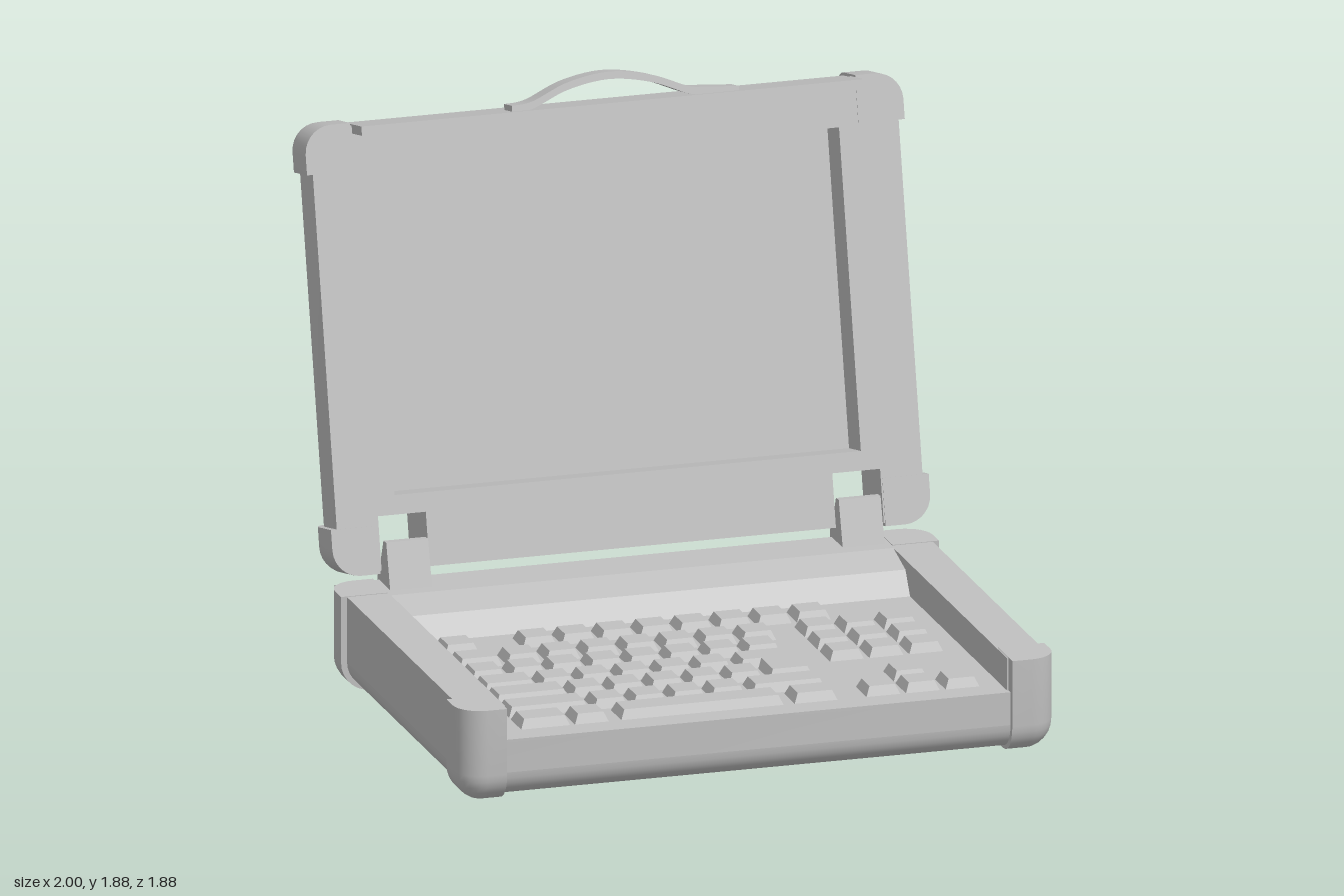
import * as THREE from 'three';
import { toCreasedNormals } from 'three/addons/utils/BufferGeometryUtils.js';

const grey = new THREE.MeshStandardMaterial({ color: 0xc0c0c0 });
grey.name = 'case grey';

function add(parent, name, geometry) {
  const mesh = new THREE.Mesh(geometry, grey);
  mesh.name = name;
  parent.add(mesh);
  return mesh;
}

function box(x0, x1, y0, y1, z0, z1) {
  return new THREE.BoxGeometry(x1 - x0, y1 - y0, z1 - z0)
    .translate((x0 + x1) / 2, (y0 + y1) / 2, (z0 + z1) / 2);
}

// Points along a quarter-circle corner
function arc(cx, cy, r, from, steps = 7) {
  return Array.from({ length: steps + 1 }, (_, k) => {
    const a = from + (k / steps) * Math.PI / 2;
    return new THREE.Vector2(cx + r * Math.cos(a), cy + r * Math.sin(a));
  });
}

const points = list => list.map(([x, y]) => new THREE.Vector2(x, y));

// Rounded rectangle, counter-clockwise, shrunk by inset
function roundRect(x0, x1, y0, y1, radius, inset = 0) {
  const r = Math.max(radius - inset, 0.004);
  x0 += inset; x1 -= inset; y0 += inset; y1 -= inset;
  return [
    ...arc(x1 - r, y0 + r, r, -Math.PI / 2),
    ...arc(x1 - r, y1 - r, r, 0),
    ...arc(x0 + r, y1 - r, r, Math.PI / 2),
    ...arc(x0 + r, y0 + r, r, Math.PI),
  ];
}

// Skin a stack of outlines along z; levels are [height, inset]
function loft(outline, levels) {
  const rings = levels.map(([, inset]) => outline(inset));
  const n = rings[0].length;
  const pos = [], index = [];
  rings.forEach((ring, l) => ring.forEach(p => pos.push(p.x, p.y, levels[l][0])));
  for (let l = 0; l < rings.length - 1; l++) {
    for (let j = 0; j < n; j++) {
      const k = (j + 1) % n, a = l * n + j, b = l * n + k;
      index.push(a, b, b + n, a, b + n, a + n);
    }
  }
  const last = (rings.length - 1) * n;
  for (const [a, b, c] of THREE.ShapeUtils.triangulateShape(rings[0], [])) index.push(c, b, a);
  for (const [a, b, c] of THREE.ShapeUtils.triangulateShape(rings[rings.length - 1], []))
    index.push(last + a, last + b, last + c);
  const g = new THREE.BufferGeometry();
  g.setAttribute('position', new THREE.Float32BufferAttribute(pos, 3));
  g.setIndex(index);
  return toCreasedNormals(g, 0.6);
}

// Quarter-round start edge, then straight up to the full depth
function roundedLevels(depth, r, steps = 7) {
  const levels = [];
  for (let k = 0; k <= steps; k++) {
    const a = (k / steps) * Math.PI / 2;
    levels.push([r * (1 - Math.cos(a)), r * (1 - Math.sin(a))]);
  }
  if (depth > r + 0.001) levels.push([depth, 0]);
  return levels;
}

// Corner guard: sx, sy choose the corner; cy is the middle of the body
function cornerGuard(sx, sy, halfY, cy, depth, r) {
  const size = 0.155, radius = 0.09;
  return loft(inset => {
    const q = Math.max(radius - inset, 0.004), X = 1 - inset, Y = halfY - inset;
    const pts = [
      new THREE.Vector2(1 - size, halfY - size),
      new THREE.Vector2(X, halfY - size),
      ...arc(X - q, Y - q, q, 0),
      new THREE.Vector2(1 - size, Y),
    ].map(p => new THREE.Vector2(p.x * sx, p.y * sy + cy));
    return sx * sy < 0 ? pts.reverse() : pts;
  }, roundedLevels(depth, r));
}

// Side profile (z, y) swept across x0..x1
function acrossX(profile, x0, x1) {
  return new THREE.ExtrudeGeometry(new THREE.Shape(points(profile)), { depth: x1 - x0, bevelEnabled: false })
    .rotateY(-Math.PI / 2).translate(x1, 0, 0);
}

function addKey(parent, x0, x1, z0, z1) {
  const g = loft(i => points([[x0 + i, -z1 + i], [x1 - i, -z1 + i], [x1 - i, -z0 - i], [x0 + i, -z0 - i]]),
    [[0, 0], [0.033, 0.015]]);
  add(parent, 'key', g.rotateX(-Math.PI / 2).translate(0, 0.208, 0));
}

function buildBase() {
  const base = new THREE.Group();
  base.name = 'base';
  const upright = (g, y) => g.rotateX(-Math.PI / 2).translate(0, y, 0);
  const plan = inset => roundRect(-0.98, 0.98, -0.92, 0.49, 0.08, inset);
  add(base, 'basePan', upright(loft(plan, roundedLevels(0.09, 0.09)), 0.01));

  // Middle layer with two open bays in the left side
  const bays = () => {
    const p = plan(0);
    p.splice(8, 0, ...points([[0.98, -0.75], [0.84, -0.75], [0.84, -0.26], [0.98, -0.26],
      [0.98, -0.19], [0.84, -0.19], [0.84, 0.31], [0.98, 0.31]]));
    return p;
  };
  add(base, 'driveBayLayer', upright(loft(bays, [[0, 0], [0.1, 0]]), 0.1));
  add(base, 'keyboardDeck', upright(loft(plan, [[0, 0], [0.01, 0]]), 0.2));

  // Raised rim: two side rails and the sloped rear ledge
  for (const s of [-1, 1]) {
    add(base, 'sideRail', box(Math.min(s * 0.84, s * 0.98), Math.max(s * 0.84, s * 0.98), 0.2, 0.318, -0.478, 0.9));
  }
  add(base, 'rearLedge', acrossX([[-0.49, 0.2], [-0.14, 0.2], [-0.14, 0.21], [-0.19, 0.285],
    [-0.32, 0.318], [-0.49, 0.318]], -0.845, 0.845));

  for (const sx of [-1, 1]) for (const sy of [-1, 1]) {
    add(base, 'baseCornerGuard', upright(cornerGuard(sx, sy, 0.72, -0.22, 0.32, 0.1), 0));
  }
  return base;
}

function buildKeyboard() {
  const keyboard = new THREE.Group();
  keyboard.name = 'keyboard';
  const w = 0.115, pitch = 0.131, pad = [0.39, 0.522, 0.655];
  // Each row: centre z, wide keys [x0, x1], run of plain keys [start, count], keypad starts
  const rows = [
    [-0.04, [[-0.765, -0.65]], [-0.505, 8], []],
    [0.115, [[-0.765, -0.62]], [-0.605, 7], pad],
    [0.25, [], [-0.765, 1], pad],
    [0.25, [], [-0.632, 7], []],
    [0.385, [[-0.765, -0.59], [0.09, 0.295]], [-0.575, 5], pad],
    [0.51, [[-0.765, -0.52]], [-0.51, 5], []],
    [0.645, [[-0.765, -0.495], [0.05, 0.295]], [-0.48, 4], [pad[1]]],
    [0.775, [[-0.765, -0.6], [-0.43, 0.115], [0.15, 0.295]], [-0.585, 1], pad],
  ];
  for (const [z, wide, [start, count], extra] of rows) {
    const starts = [...Array.from({ length: count }, (_, k) => start + k * pitch), ...extra];
    for (const [x0, x1] of [...wide, ...starts.map(x => [x, x + w])]) addKey(keyboard, x0, x1, z - w / 2, z + w / 2);
  }
  addKey(keyboard, 0.15, 0.295, 0.3275, 0.5675); // lower leg of the enter key
  return keyboard;
}

function buildLid() {
  const lid = new THREE.Group();
  lid.name = 'lid';
  // Outline with two hinge cut-outs in the bottom edge
  const outline = inset => {
    const y = 0.01 + inset, t = 0.185;
    return [...roundRect(-0.98, 0.98, 0.01, 1.44, 0.08, inset),
      ...points([[-0.84, y], [-0.84, t], [-0.68, t], [-0.68, y], [0.68, y], [0.68, t], [0.84, t], [0.84, y]])];
  };
  add(lid, 'lidBack', loft(outline, roundedLevels(0.08, 0.08)).translate(0, 0, -0.21));
  const frame = new THREE.Shape(outline(0));
  frame.holes.push(new THREE.Path(points([[-0.78, 0.248], [-0.78, 1.288], [0.78, 1.288], [0.78, 0.248]])));
  add(lid, 'screenFrame', toCreasedNormals(
    new THREE.ExtrudeGeometry(frame, { depth: 0.13, bevelEnabled: false }), 0.6).translate(0, 0, -0.13));

  for (const sx of [-1, 1]) for (const sy of [-1, 1]) {
    add(lid, 'lidCornerGuard', cornerGuard(sx, sy, 0.725, 0.725, 0.222, 0.09).translate(0, 0, -0.22));
  }
  add(lid, 'topLip', box(-0.84, 0.84, 1.415, 1.445, -0.03, 0.108));

  // Arched carrying handle, a strip of even thickness
  const curve = new THREE.SplineCurve(points([[-0.33, 1.452], [-0.26, 1.46], [-0.14, 1.51], [0, 1.532],
    [0.14, 1.51], [0.26, 1.463], [0.32, 1.455], [0.43, 1.447]]));
  const mid = curve.getPoints(40);
  const edge = d => mid.map(p => new THREE.Vector2(p.x, p.y + d));
  const strip = new THREE.Shape([...edge(-0.012), ...edge(0.012).reverse()]);
  add(lid, 'handle', toCreasedNormals(
    new THREE.ExtrudeGeometry(strip, { depth: 0.085, bevelEnabled: false }), 0.6).translate(0, 0, 0.005));

  lid.rotation.x = -0.227;
  lid.position.set(0, 0.36, -0.42);
  return lid;
}

export function createModel() {
  const model = new THREE.Group();
  model.name = 'portableComputer';
  model.add(buildBase(), buildKeyboard(), buildLid());
  // Hinge brackets hooked over the rear edge
  for (const s of [-1, 1]) {
    const g = acrossX([[-0.37, 0.31], [-0.485, 0.31], [-0.485, 0.22], [-0.508, 0.22], [-0.508, 0.37],
      [-0.47, 0.4], [-0.445, 0.462], [-0.415, 0.465]].reverse(), -0.07, 0.07);
    add(model, 'hinge', g.translate(s * 0.757, 0, 0));
  }
  return model;
}
